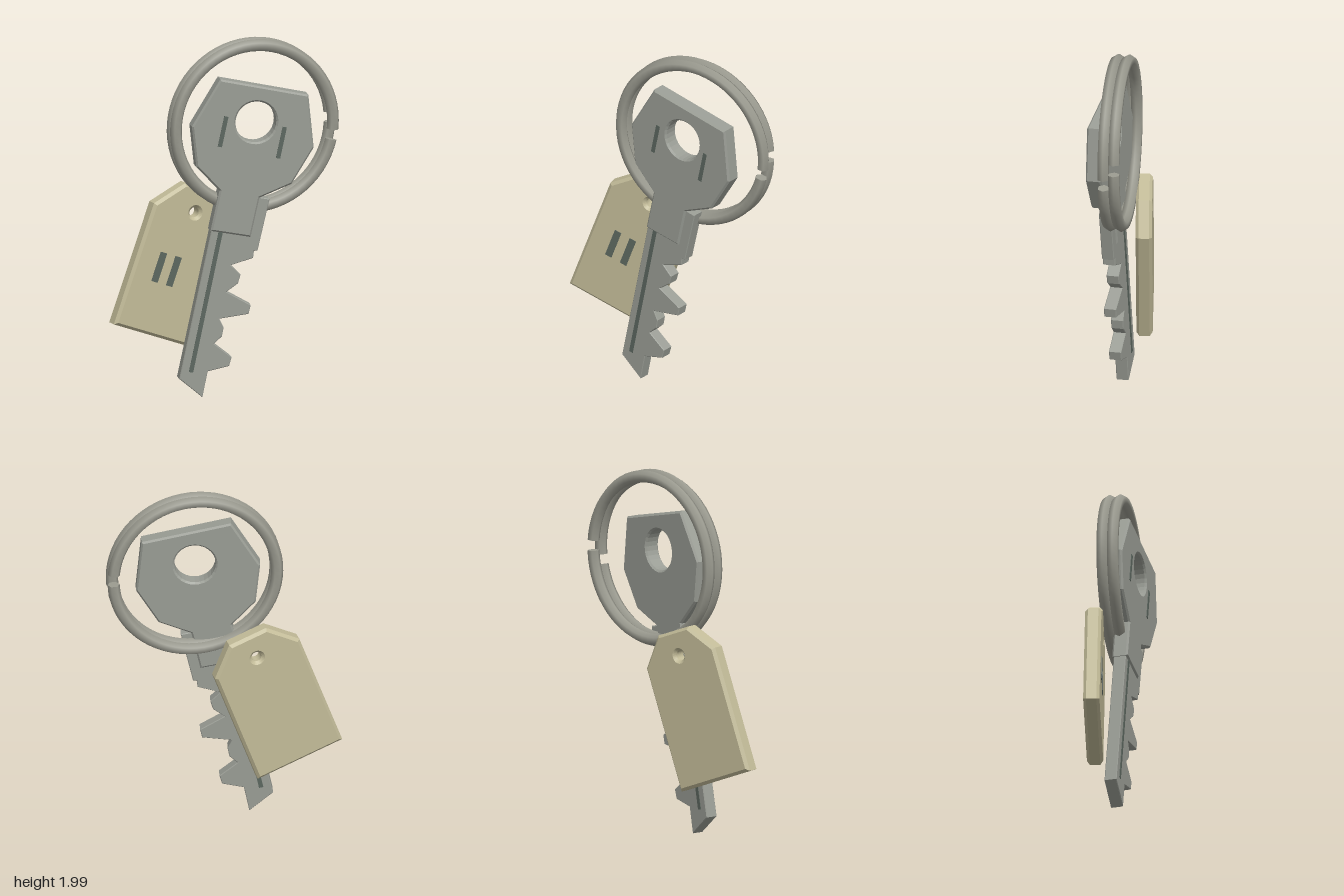
import * as THREE from 'three';

const mat = (color, extra = {}) => new THREE.MeshStandardMaterial({ color, ...extra });
const keyMat = mat(0x9a9d95);
const ringMat = mat(0x9b9b90, { side: THREE.DoubleSide });
const tagMat = mat(0xc2bb98);
const darkMat = mat(0x5c675f);

function add(parent, name, geometry, material) {
  const mesh = new THREE.Mesh(geometry, material);
  mesh.name = name;
  parent.add(mesh);
  return mesh;
}

// Flat plate centred on z = 0, with bevelled edges and an optional round hole [x, y, r]
function plate(points, thickness, bevel, hole) {
  const shape = new THREE.Shape(points.map(([x, y]) => new THREE.Vector2(x, y)));
  if (hole) shape.holes.push(new THREE.Path().absarc(...hole, 0, Math.PI * 2, true));
  const geometry = new THREE.ExtrudeGeometry(shape, {
    depth: thickness - 2 * bevel, bevelThickness: bevel, bevelSize: bevel,
    bevelOffset: -bevel, bevelSegments: 1, curveSegments: 14,
  });
  return geometry.translate(0, 0, bevel - thickness / 2);
}

// Thin dark bar lying on a face, running between two points
function bar(parent, name, [x1, y1], [x2, y2], width, z) {
  const length = Math.hypot(x2 - x1, y2 - y1);
  const mesh = add(parent, name, new THREE.BoxGeometry(width, length, 0.006), darkMat);
  mesh.position.set((x1 + x2) / 2, (y1 + y2) / 2, z);
  mesh.rotation.z = Math.atan2(y2 - y1, x2 - x1) - Math.PI / 2;
}

function createKey() {
  const key = new THREE.Group();
  key.name = 'key';

  // Head and collar in one plate
  add(key, 'keyHead', plate([
    [-0.05, 1.80], [-0.21, 1.54], [-0.185, 1.31], [-0.055, 1.17], [-0.105, 0.945],
    [0.12, 0.90], [0.17, 1.12], [0.35, 1.19], [0.475, 1.39], [0.445, 1.69],
  ], 0.09, 0.01, [0.15, 1.55, 0.115]), keyMat);

  // Blade with shoulder, teeth and pointed tip
  add(key, 'keyBlade', plate([
    [-0.055, 1.165], [-0.1, 0.945], [-0.28, 0.115], [-0.15, 0.005], [-0.12, 0.15],
    [0, 0.175], [0.015, 0.225], [-0.085, 0.305], [-0.04, 0.345], [-0.03, 0.395],
    [-0.055, 0.445], [0.11, 0.465], [0.122, 0.515], [-0.015, 0.595], [0.05, 0.64],
    [0.065, 0.69], [0.01, 0.745], [0.135, 0.78], [0.14, 0.82], [0.16, 0.82],
    [0.228, 1.11], [0.17, 1.122],
  ], 0.07, 0.004), keyMat);

  // Slots on the head, grooves on both sides of the blade
  bar(key, 'headSlotRight', [-0.055, 1.42], [-0.018, 1.59], 0.024, 0.045);
  bar(key, 'headSlotLeft', [0.272, 1.34], [0.31, 1.515], 0.024, 0.045);
  for (const side of [1, -1])
    bar(key, 'bladeGroove', [-0.215, 0.15], [-0.045, 0.95], 0.024, 0.035 * side);

  key.position.z = 0.054;
  key.rotation.y = -0.122;
  return key;
}

function createTag() {
  const tag = new THREE.Group();
  tag.name = 'tag';
  const body = new THREE.Group();
  body.name = 'tagBody';
  tag.add(body);

  // Plate drawn upright from its lower corner, then leaned over
  add(body, 'tagPlate', plate([
    [0, 0], [0.515, 0], [0.515, 0.705], [0.37, 0.86], [0.145, 0.86], [0, 0.705],
  ], 0.09, 0.016, [0.256, 0.719, 0.028]), tagMat);
  for (const x of [0.148, 0.243])
    bar(body, 'tagMark', [x, 0.29], [x, 0.46], 0.04, 0.045);
  body.position.set(-0.655, 0.44, 0);
  body.rotation.z = -0.356;

  tag.position.z = -0.104;
  tag.rotation.y = 0.122;
  return tag;
}

function createRing() {
  const ring = new THREE.Group();
  ring.name = 'splitRing';
  const R = 0.456, r = 0.034;

  // Two coils side by side, each with a small gap: [z, gap start, gap end]
  for (const [z, from, to] of [[0.036, -0.235, -0.11], [-0.023, -0.045, 0.085]]) {
    const coil = new THREE.Group();
    coil.name = 'ringCoil';
    const arc = Math.PI * 2 - (to - from);
    add(coil, 'coilWire', new THREE.TorusGeometry(R, r, 6, 64, arc), ringMat);
    for (const angle of [0, arc]) {
      const end = new THREE.Group();
      end.name = 'coilEnd';
      end.rotation.z = angle;
      const cap = add(end, 'coilEndCap', new THREE.CircleGeometry(r, 6), ringMat);
      cap.position.x = R;
      cap.rotation.x = Math.PI / 2;
      coil.add(end);
    }
    coil.position.z = z;
    coil.rotation.z = to;
    ring.add(coil);
  }
  ring.position.set(0.16, 1.51, 0);
  return ring;
}

export function createModel() {
  const model = new THREE.Group();
  model.name = 'keyWithTag';
  model.add(createKey(), createTag(), createRing());
  return model;
}
